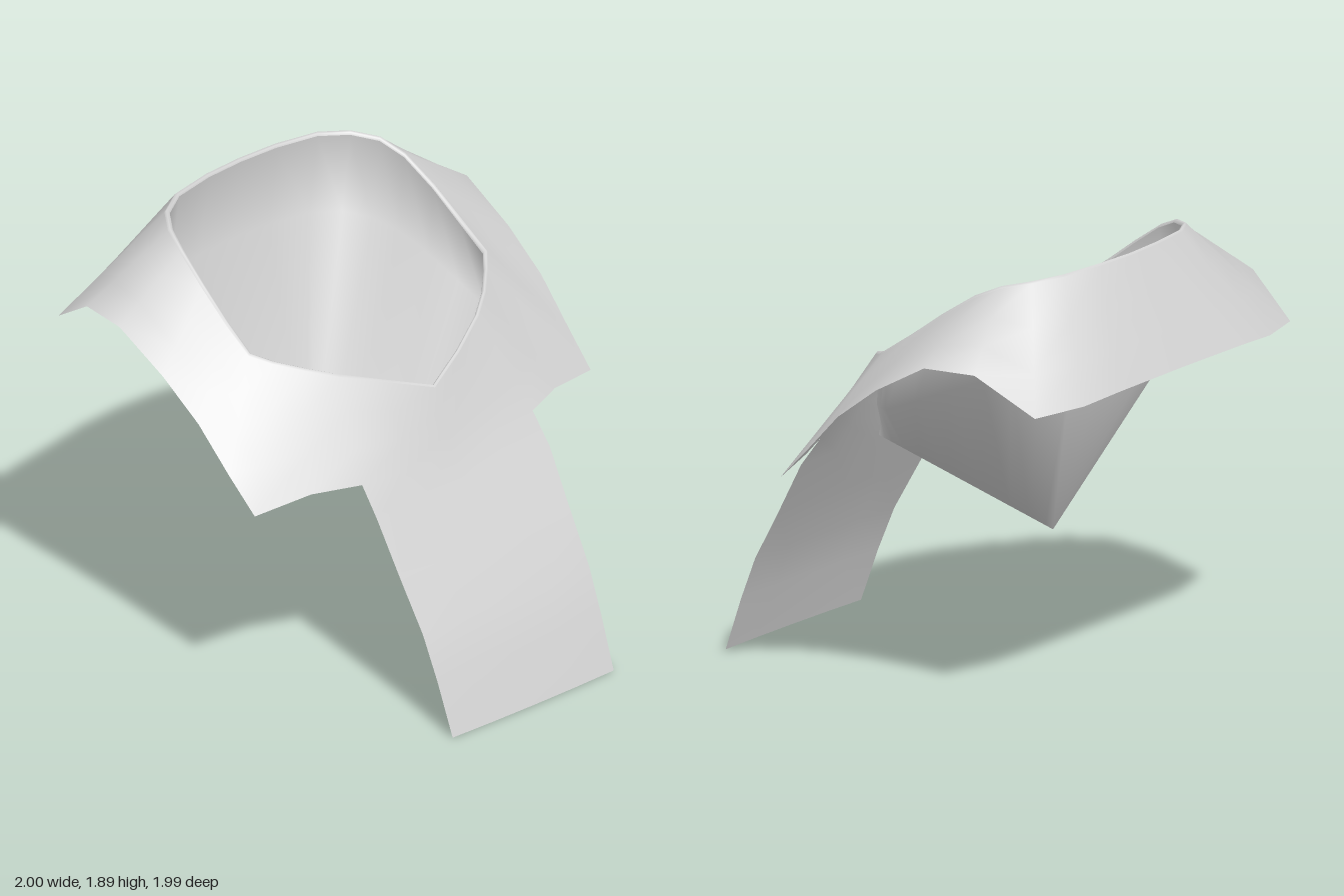
import * as THREE from 'three';
import { mergeVertices } from 'three/addons/utils/BufferGeometryUtils.js';

// Half outlines on the +x side, from front centre round to back centre
const RIM = [
  [0, 1.262, 0.412], [0.2, 1.332, 0.35], [0.4, 1.395, 0.26], [0.52, 1.435, 0.18], [0.62, 1.47, 0.09],
  [0.688, 1.505, 0.02], [0.684, 1.6, -0.12], [0.673, 1.71, -0.27], [0.65, 1.81, -0.42], [0.612, 1.86, -0.53],
  [0.535, 1.88, -0.63], [0.41, 1.892, -0.7], [0.2, 1.897, -0.735], [0, 1.897, -0.745],
];
const HEM = [
  [0, 1.0, 0.515], [0.25, 1.0, 0.51], [0.49, 1.01, 0.485], [0.7, 1.01, 0.4], [0.965, 0.98, 0.34],
  [0.975, 1.12, 0.2], [0.985, 1.3, 0.03], [0.993, 1.45, -0.17], [0.998, 1.59, -0.42], [0.96, 1.59, -0.65],
  [0.88, 1.43, -0.9], [0.64, 1.44, -0.975], [0.42, 1.455, -0.995], [0, 1.46, -1.0],
];
// Where each rim point lands along the keel of the lining
const KEEL_Z = [0.55, 0.54, 0.52, 0.48, 0.42, 0.34, 0.2, 0.02, -0.12, -0.22, -0.3, -0.34, -0.34, -0.34];

const vec = (p) => new THREE.Vector3(...p);
const flip = (v) => new THREE.Vector3(-v.x, v.y, v.z);

// Full closed loop from a half outline (first point repeated at the end)
const fullLoop = (half) => [...half, ...half.slice(0, -1).reverse().map(flip)];

// Smooth surface through one or more grids of points
function skin(...grids) {
  const out = [];
  for (const rows of grids) {
    for (let r = 0; r + 1 < rows.length; r++) {
      for (let i = 0; i + 1 < rows[r].length; i++) {
        const a = rows[r][i], b = rows[r][i + 1], c = rows[r + 1][i], d = rows[r + 1][i + 1];
        for (const p of [a, c, b, b, c, d]) out.push(p.x, p.y, p.z);
      }
    }
  }
  const g = new THREE.BufferGeometry();
  g.setAttribute('position', new THREE.Float32BufferAttribute(out, 3));
  const merged = mergeVertices(g, 1e-4);
  merged.computeVertexNormals();
  return merged;
}

export function createModel() {
  const group = new THREE.Group();
  const cloth = new THREE.MeshStandardMaterial({ color: 0xd4d4d4, side: THREE.DoubleSide });
  cloth.name = 'light grey cloth';
  const add = (name, geometry) => {
    const mesh = new THREE.Mesh(geometry, cloth);
    mesh.name = name;
    group.add(mesh);
  };

  const rim = RIM.map(vec), hem = HEM.map(vec);

  // Shoulder cape with the long front panel hanging from it
  const cape = [0, 0.33, 0.67, 1].map((t) => fullLoop(rim.map((p, i) => p.clone().lerp(hem[i], t))));
  const panel = [[flip(hem[2]), flip(hem[1]), hem[0], hem[1], hem[2]]];
  // height, depth and half width of each panel row
  for (const [y, z, w] of [[0.88, 0.58, 0.487], [0.65, 0.705, 0.477], [0.43, 0.83, 0.467], [0.24, 0.908, 0.46], [0.01, 0.99, 0.453]]) {
    panel.push([-1, -0.5, 0, 0.5, 1].map((s) => new THREE.Vector3(s * w + 0.006, y, z + 0.01 * s - 0.008 * s * s)));
  }
  add('cape', skin(cape, panel));

  // Rolled lip turning from the cape into the opening
  const inset = (k, dy) => rim.map((p) => new THREE.Vector3(p.x * k, p.y + dy, -0.17 + (p.z + 0.17) * k));
  const inner = inset(0.968, -0.006);
  add('rolledLip', skin([inner, inset(0.974, 0.004), inset(0.988, 0.008), rim].map(fullLoop)));

  // Lining: hangs straight down from the lip, then closes in a sloping keel
  const keel = KEEL_Z.map((z) => new THREE.Vector3(0, 0.744 + 0.278 * z, z));
  const middle = inner.map((p) => {
    const back = THREE.MathUtils.clamp((p.y - 1.26) / 0.6, 0, 1);
    return new THREE.Vector3(p.x * 1.01, p.y - 0.15 - 0.22 * back, p.z + 0.04 - 0.09 * back);
  });
  add('lining', skin([inner, middle, keel].map(fullLoop)));

  return group;
}
